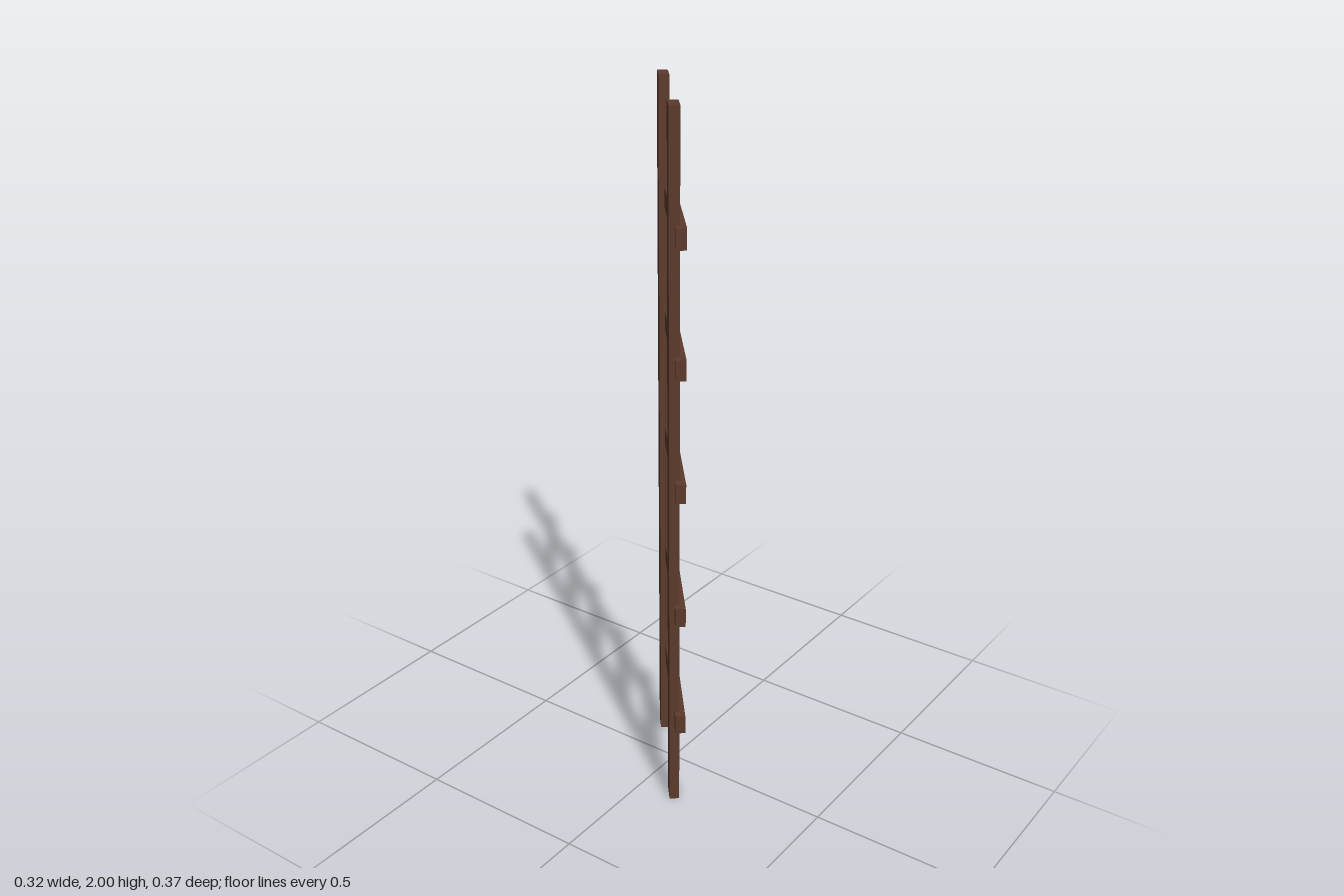
import * as THREE from 'three';

export function createModel() {
  const wood = new THREE.MeshStandardMaterial({ color: 0x5c3a2b });
  wood.name = 'darkWood';

  const model = new THREE.Group();
  model.name = 'ladder';

  const addBeam = (name, size, position) => {
    const beam = new THREE.Mesh(new THREE.BoxGeometry(...size), wood);
    beam.name = name;
    beam.position.set(...position);
    model.add(beam);
  };

  // Two upright rails, set slightly in front of the rungs
  addBeam('rightRail', [0.058, 2, 0.028], [-0.178, 1, 0.015]);
  addBeam('leftRail', [0.058, 2, 0.028], [0.176, 1, 0.015]);

  // Rungs, a little unevenly spaced, notched into the back of the rails
  [0.271, 0.618, 0.992, 1.338, 1.68].forEach((y, i) =>
    addBeam(`rung${i + 1}`, [0.459, 0.056, 0.028], [0, y, 0]));

  // The whole ladder stands turned about its vertical axis
  model.rotation.y = THREE.MathUtils.degToRad(-50.1);

  const root = new THREE.Group();
  root.name = 'ladderRoot';
  root.add(model);
  return root;
}
